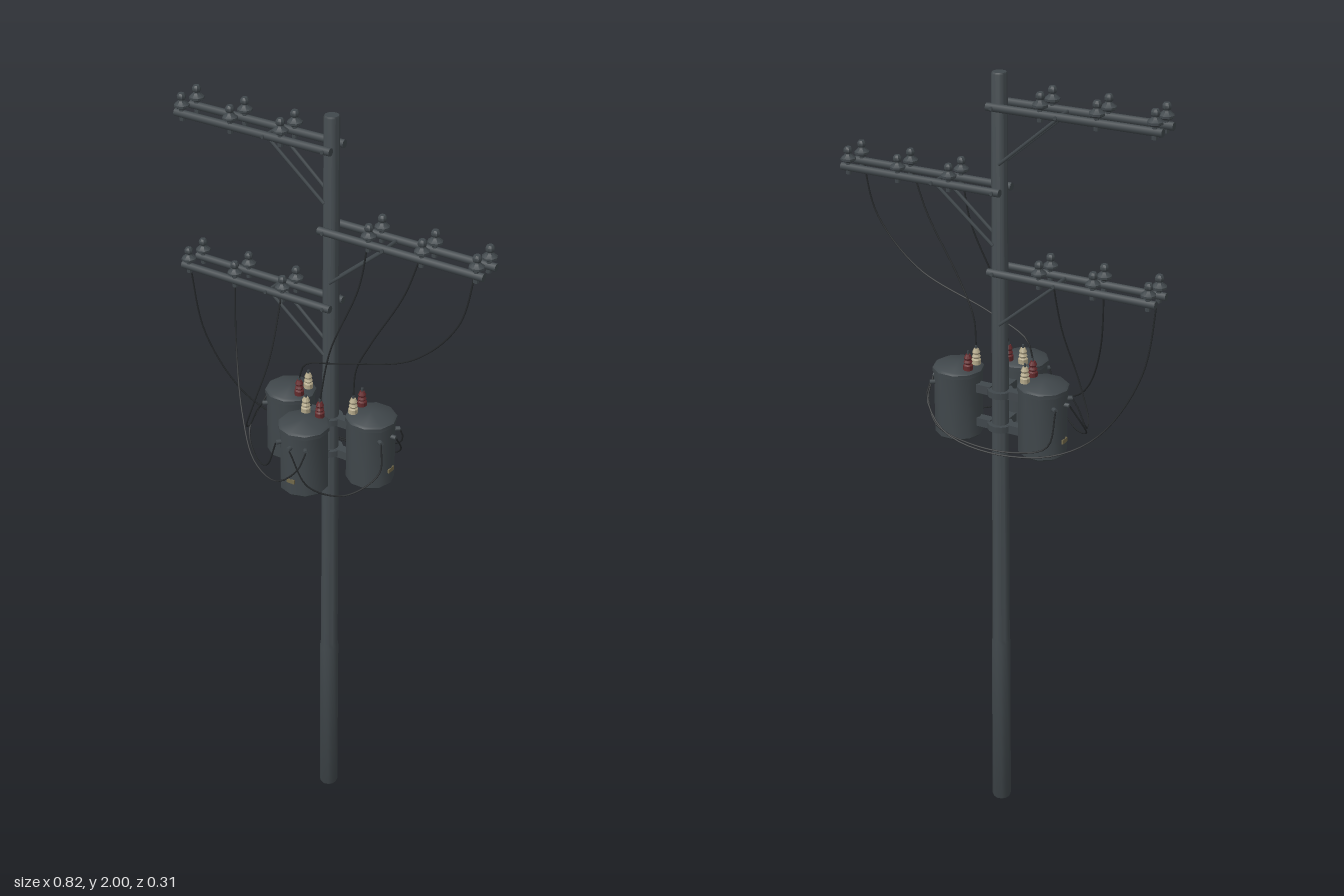
import * as THREE from 'three';
import { toCreasedNormals } from 'three/addons/utils/BufferGeometryUtils.js';

const material = (name, color, side = THREE.FrontSide) =>
  new THREE.MeshStandardMaterial({ name, color, side });
const V = (x, y, z) => new THREE.Vector3(x, y, z);
const POLE_Z = -0.059;

export function createModel() {
  const steel = material('slate steel', 0x40474b);
  const cable = material('black cable', 0x25282a);
  const red = material('dark red ceramic', 0x642a2c);
  const cream = material('cream ceramic', 0xb3a88a);
  const brass = material('dull brass', 0x71684a);

  const model = new THREE.Group();
  model.name = 'utilityPole';

  function add(parent, name, geometry, mat, x = 0, y = 0, z = 0) {
    const mesh = new THREE.Mesh(geometry, mat);
    mesh.name = name;
    mesh.position.set(x, y, z);
    parent.add(mesh);
    return mesh;
  }
  const group = (parent, name) => {
    const g = new THREE.Group();
    g.name = name;
    parent.add(g);
    return g;
  };
  const lathe = (points, sides) => toCreasedNormals(
    new THREE.LatheGeometry(points.map(p => new THREE.Vector2(...p)), sides), 0.7);
  // Straight rod between two points
  function rod(parent, name, a, b, r, sides, mat) {
    const geo = new THREE.CylinderGeometry(r, r, a.distanceTo(b), sides);
    const mesh = add(parent, name, geo, mat);
    mesh.position.copy(a).lerp(b, 0.5);
    mesh.quaternion.setFromUnitVectors(V(0, 1, 0), b.clone().sub(a).normalize());
    return mesh;
  }

  // Pole, with a slightly wider lower section
  add(model, 'pole', lathe([[0, 0], [0.023, 0], [0.025, 0.004], [0.0245, 0.5], [0.0225, 0.515],
    [0.0185, 1.996], [0.0165, 2], [0, 2]], 12), steel, 0, 0, POLE_Z);

  // Pin insulator profile
  const insulatorGeo = lathe([[0, -0.016], [0.007, -0.016], [0.007, 0.012], [0.011, 0.014],
    [0.0185, 0.018], [0.0185, 0.023], [0.010, 0.030], [0.008, 0.034], [0.0105, 0.038],
    [0.0105, 0.045], [0.007, 0.050], [0, 0.050]], 8);

  // Crossarm: twin rails, insulators, braces and through bolts
  function crossarm(name, y, dir) {
    const arm = group(model, name);
    for (const s of [-1, 1]) {
      const z = POLE_Z + s * 0.029;
      rod(arm, 'rail', V(-0.016 * dir, y, z), V(0.412 * dir, y, z), 0.0098, 8, steel);
      for (const x of [0.118, 0.256, 0.393])
        add(arm, 'insulator', insulatorGeo, steel, x * dir, y, z);
      rod(arm, 'brace', V(0.16 * dir, y - 0.004, POLE_Z + s * 0.022),
        V(0.008 * dir, y - 0.132, POLE_Z + s * 0.019), 0.0042, 6, steel);
    }
    for (const x of [0, 0.16])
      rod(arm, 'throughBolt', V(x * dir, y, POLE_Z - 0.042), V(x * dir, y, POLE_Z + 0.042),
        0.0045, 6, steel);
  }
  crossarm('upperCrossarm', 1.926, -1);
  crossarm('middleCrossarm', 1.73, 1);
  crossarm('lowerCrossarm', 1.535, -1);

  // Mounting collars on the pole
  for (const y of [1.13, 1.22])
    add(model, 'collar', new THREE.CylinderGeometry(0.032, 0.032, 0.016, 12), steel, 0, y, POLE_Z);

  // Transformers, arranged around the pole
  const tankGeo = lathe([[0, 1.086], [0.054, 1.086], [0.06, 1.092], [0.06, 1.252], [0.0635, 1.253],
    [0.0635, 1.263], [0.058, 1.268], [0, 1.276]], 10);
  const bushingGeo = lathe([[0.012, 0], [0.012, 0.012], [0.008, 0.015], [0.011, 0.020],
    [0.008, 0.026], [0.010, 0.031], [0.006, 0.040], [0, 0.041]], 10);
  function transformer(name, angle) {
    const unit = group(model, name);
    unit.position.z = POLE_Z;
    unit.rotation.y = angle;
    const d = 0.117;
    add(unit, 'tank', tankGeo, steel, 0, 0, d);
    add(unit, 'creamBushing', bushingGeo, cream, -0.02, 1.27, d - 0.039);
    add(unit, 'redBushing', bushingGeo, red, 0.02, 1.27, d - 0.039);
    for (const x of [-0.02, 0.02])
      add(unit, 'bushingCap', new THREE.CylinderGeometry(0.003, 0.003, 0.01, 6), steel,
        x, 1.314, d - 0.039);
    for (const y of [1.13, 1.22])
      add(unit, 'hanger', new THREE.BoxGeometry(0.024, 0.022, 0.04), steel, 0, y, 0.043);
    for (const a of [-0.65, 0, 0.65])
      rod(unit, 'sideTerminal', V(Math.sin(a) * 0.056, 1.225, d + Math.cos(a) * 0.056),
        V(Math.sin(a) * 0.071, 1.225, d + Math.cos(a) * 0.071), 0.006, 8, steel);
    add(unit, 'plate', new THREE.BoxGeometry(0.022, 0.011, 0.004), brass, 0, 1.13, d + 0.059);
  }
  transformer('frontTransformer', 0);
  transformer('leftTransformer', Math.PI / 2);
  transformer('rightTransformer', -Math.PI / 2);

  // Hanging wires
  function wire(name, points) {
    const curve = new THREE.CatmullRomCurve3(points.map(p => V(...p)));
    add(model, name, new THREE.TubeGeometry(curve, 36, 0.0022, 5), cable);
  }
  // From the middle crossarm to the red and cream bushings
  wire('outerFeedWire', [[0.393, 1.745, -0.03], [0.36, 1.6, -0.024], [0.25, 1.48, -0.02],
    [0.05, 1.405, -0.022], [-0.06, 1.36, -0.036], [-0.078, 1.315, -0.039]]);
  wire('middleFeedWire', [[0.256, 1.745, -0.03], [0.215, 1.63, -0.03], [0.13, 1.48, -0.03],
    [0.085, 1.39, -0.038], [0.078, 1.315, -0.039]]);
  wire('innerFeedWire', [[0.118, 1.745, -0.03], [0.1, 1.62, -0.02], [0.04, 1.45, 0.005],
    [0.02, 1.315, 0.019]]);
  // From the lower crossarm to the tank terminals
  wire('outerDropWire', [[-0.393, 1.55, -0.03], [-0.37, 1.34, -0.055], [-0.28, 1.18, -0.09],
    [-0.17, 1.115, -0.125], [0, 1.1, -0.15], [0.11, 1.13, -0.15], [0.175, 1.19, -0.115],
    [0.172, 1.225, -0.102]]);
  wire('middleDropWire', [[-0.256, 1.55, -0.03], [-0.24, 1.37, -0.005], [-0.18, 1.23, 0.06],
    [-0.1, 1.155, 0.125], [-0.02, 1.14, 0.149], [0.03, 1.18, 0.135], [0.043, 1.225, 0.115]]);
  wire('innerDropWire', [[-0.118, 1.55, -0.03], [-0.13, 1.38, 0.01], [-0.165, 1.25, 0.033],
    [-0.205, 1.16, 0.01], [-0.21, 1.15, -0.01], [-0.19, 1.2, -0.016], [-0.173, 1.225, -0.016]]);
  // Loops linking the tanks
  wire('rightFrontLoop', [[0.173, 1.225, -0.016], [0.178, 1.15, 0], [0.12, 1.1, 0.06],
    [0.05, 1.13, 0.115], [0.005, 1.225, 0.13]]);
  wire('leftFrontLoop', [[-0.188, 1.225, -0.059], [-0.21, 1.14, -0.01], [-0.15, 1.11, 0.05],
    [-0.08, 1.14, 0.1], [-0.043, 1.225, 0.115]]);
  wire('rearLoop', [[-0.173, 1.225, -0.102], [-0.165, 1.14, -0.128], [-0.08, 1.11, -0.14],
    [0.04, 1.11, -0.147], [0.14, 1.13, -0.13], [0.185, 1.18, -0.09], [0.188, 1.225, -0.059]]);

  return model;
}
